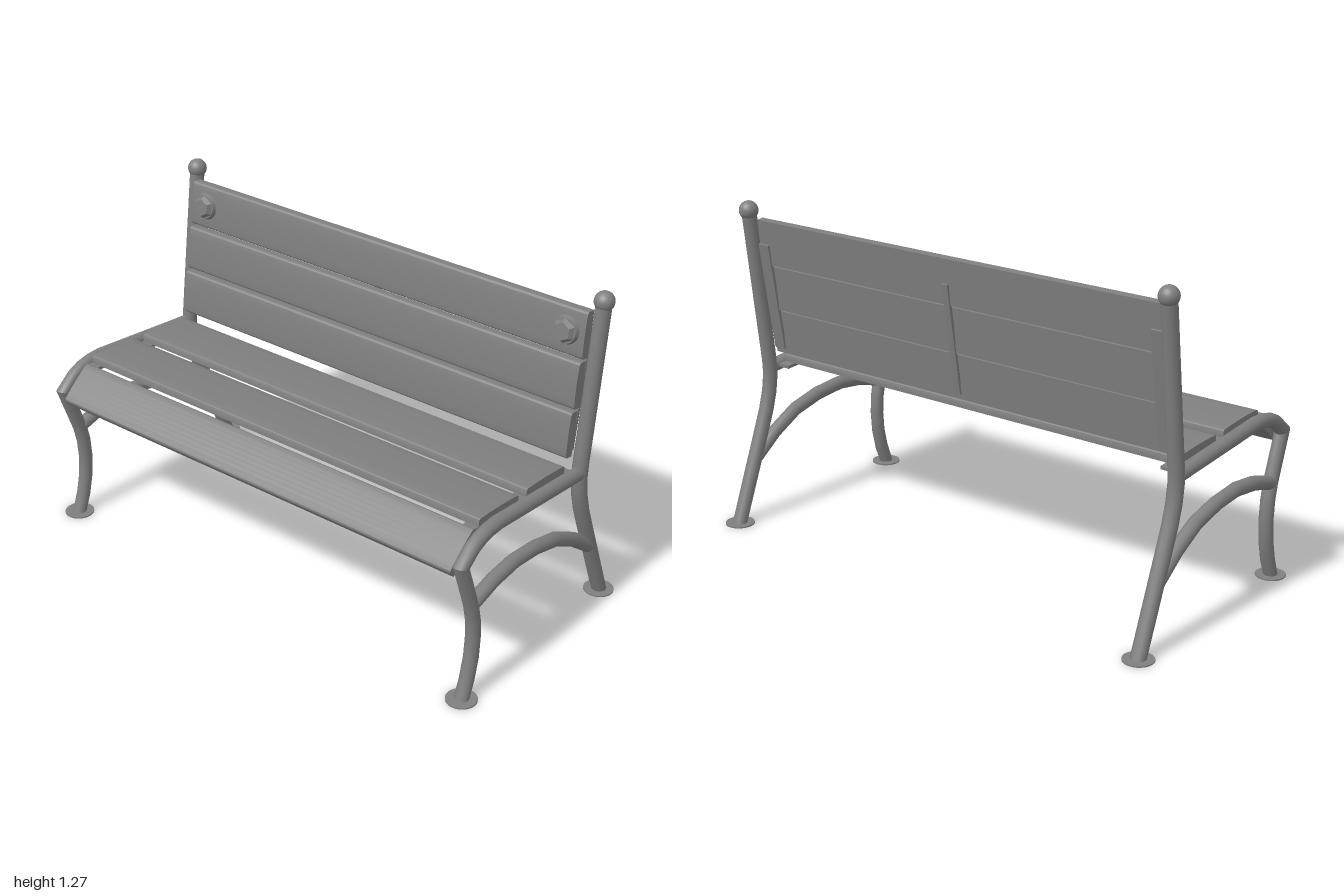
import * as THREE from 'three';
import { toCreasedNormals } from 'three/addons/utils/BufferGeometryUtils.js';

const mat = new THREE.MeshStandardMaterial({ color: 0x7f7f7f });
const SIDE_X = 0.943;

function add(parent, name, geo, x = 0, y = 0, z = 0, rx = 0) {
  const m = new THREE.Mesh(geo, mat);
  m.name = name;
  m.position.set(x, y, z);
  m.rotation.x = rx;
  parent.add(m);
  return m;
}

// Round bar swept along [z, y] points, with mitred bends, cut level at the ground
function bar(pts, r, sides = 12) {
  const normals = pts.slice(1).map(([z, y], i) =>
    new THREE.Vector2(y - pts[i][1], pts[i][0] - z).normalize());
  const pos = [], idx = [];
  pts.forEach(([z, y], i) => {
    const a = normals[Math.max(i - 1, 0)];
    const b = normals[Math.min(i, normals.length - 1)];
    const n = a.clone().add(b).normalize();
    const miter = r / n.dot(a);
    for (let j = 0; j < sides; j++) {
      const t = (j / sides) * Math.PI * 2;
      const c = Math.cos(t) * miter;
      pos.push(Math.sin(t) * r, Math.max(0, y + n.y * c), z + n.x * c);
      if (i < pts.length - 1) {
        const k = (j + 1) % sides, p = i * sides, q = p + sides;
        idx.push(p + j, p + k, q + j, p + k, q + k, q + j);
      }
    }
  });
  const g = new THREE.BufferGeometry();
  g.setAttribute('position', new THREE.Float32BufferAttribute(pos, 3));
  g.setIndex(idx);
  return toCreasedNormals(g, 0.7);
}

// Plank along x: flat back, gently domed face with rounded edges
function plank(width, thick, length = 1.83) {
  const w = width / 2, t = thick / 2, e = 0.012;
  const s = new THREE.Shape();
  s.moveTo(-w, -t);
  s.lineTo(w, -t);
  s.lineTo(w, t - e - 0.003);
  s.quadraticCurveTo(w, t - 0.004, w - e, t - 0.003);
  s.quadraticCurveTo(0, t + 0.003, -w + e, t - 0.003);
  s.quadraticCurveTo(-w, t - 0.004, -w, t - e - 0.003);
  s.closePath();
  const g = new THREE.ExtrudeGeometry(s, { depth: length, bevelEnabled: false, curveSegments: 8 });
  g.translate(0, 0, -length / 2);
  g.rotateY(Math.PI / 2);
  return toCreasedNormals(g, 0.6);
}

function sideFrame(name, x) {
  const g = new THREE.Group();
  g.name = name;
  g.position.x = x;
  add(g, 'backPost', bar([[-0.437, 0], [-0.3, 0.345], [-0.267, 0.43], [-0.247, 0.5],
    [-0.237, 0.57], [-0.24, 0.63], [-0.315, 1.237]], 0.029));
  // front leg turning into the seat rail
  add(g, 'frontLegAndSeatRail', bar([[0.43, 0], [0.403, 0.075], [0.384, 0.155], [0.378, 0.235],
    [0.383, 0.31], [0.397, 0.375], [0.463, 0.56], [0.405, 0.607], [0.365, 0.625],
    [0.32, 0.635], [0.265, 0.638], [-0.235, 0.597]], 0.027));
  add(g, 'archBrace', bar([[0.39, 0.378], [0.275, 0.412], [0.153, 0.427], [0.022, 0.416],
    [-0.106, 0.386], [-0.225, 0.325], [-0.335, 0.245]], 0.027));
  add(g, 'ballFinial', new THREE.SphereGeometry(0.037, 20, 14), 0, 1.237, -0.315);
  for (const z of [0.43, -0.435]) {
    add(g, 'footPlate', new THREE.CylinderGeometry(0.057, 0.057, 0.005, 24), 0, 0.0025, z);
  }
  return g;
}

export function createModel() {
  const bench = new THREE.Group();
  bench.name = 'bench';
  bench.add(sideFrame('leftFrame', SIDE_X), sideFrame('rightFrame', -SIDE_X));

  // seat planks
  add(bench, 'frontSeatPlank', plank(0.17, 0.042), 0, 0.582, 0.413, 0.7);
  add(bench, 'middleSeatPlank', plank(0.23, 0.034), 0, 0.649, 0.216, -0.06);
  add(bench, 'rearSeatPlank', plank(0.235, 0.034), 0, 0.634, -0.063, -0.06);

  // backrest planks, leaning back
  for (let i = 0; i < 3; i++) {
    add(bench, 'backPlank', plank(0.175, 0.041), 0, 0.751 + i * 0.1825, -0.21 - i * 0.03,
      Math.PI / 2 - 0.11);
  }

  // flat straps joining the planks
  for (const [x, w] of [[-0.89, 0.05], [0, 0.025], [0.89, 0.05]]) {
    add(bench, 'backStrap', new THREE.BoxGeometry(w, 0.43, 0.012), x, 0.895, -0.259, -0.16);
    if (x) add(bench, 'seatStrap', new THREE.BoxGeometry(w, 0.012, 0.58), x, 0.62, 0.075, -0.06);
  }

  // round washers with hexagonal bolt heads on the top plank
  for (const x of [-0.84, 0.84]) {
    const bolt = new THREE.Group();
    bolt.name = 'bolt';
    bolt.position.set(x, 1.122, -0.249);
    bolt.rotation.x = Math.PI / 2 - 0.12;
    add(bolt, 'washer', new THREE.CylinderGeometry(0.047, 0.053, 0.016, 20), 0, 0.006, 0);
    add(bolt, 'hexHead', toCreasedNormals(new THREE.CylinderGeometry(0.034, 0.046, 0.016, 6), 0.3), 0, 0.022, 0);
    bench.add(bolt);
  }
  return bench;
}
